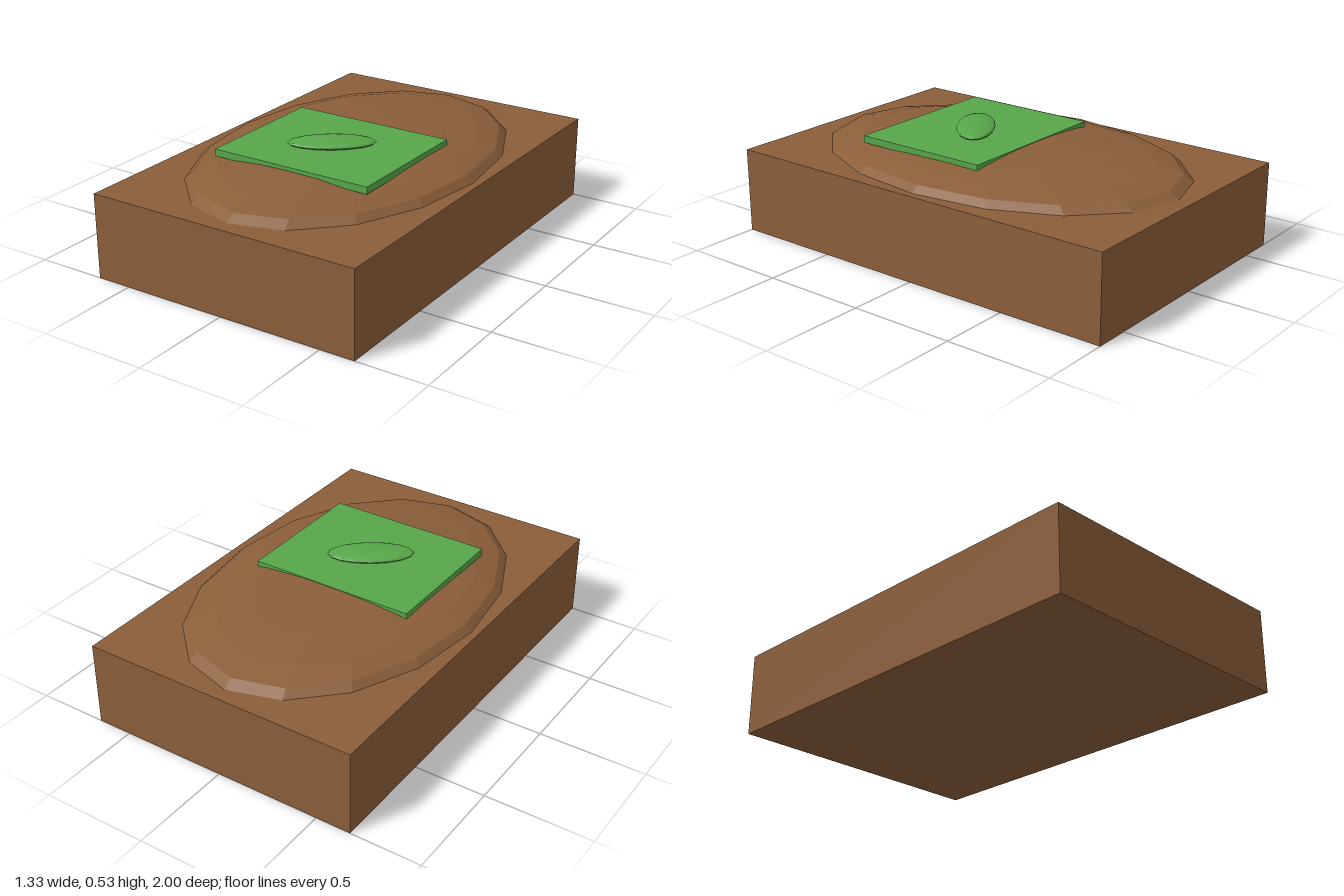
import * as THREE from 'three';

export function createModel() {
  const model = new THREE.Group();
  const brown = new THREE.MeshStandardMaterial({ color: 0x8b5e3a, flatShading: true });
  brown.name = 'earth brown';
  const green = new THREE.MeshStandardMaterial({ color: 0x57a64a, flatShading: true });
  green.name = 'leaf green';

  const add = (name, geometry, material, x, y, z) => {
    const mesh = new THREE.Mesh(geometry, material);
    mesh.name = name;
    mesh.position.set(x, y, z);
    model.add(mesh);
    return mesh;
  };

  // Solid rectangular base
  add('base', new THREE.BoxGeometry(1.333, 0.4, 2), brown, 0, 0.2, 0);

  // Shallow oval mound: the upper half of a faceted ellipsoid
  const dome = new THREE.SphereGeometry(1, 16, 5, 0, Math.PI * 2, 0, Math.PI / 2);
  dome.scale(0.633, 0.1, 0.933);
  add('mound', dome, brown, 0, 0.4, 0);

  // Flat square patch lying on the mound
  add('patch', new THREE.BoxGeometry(0.8, 0.033, 0.667), green, 0, 0.4835, 0.167);

  // Thin oval leaf turned diagonally on the patch
  const oval = new THREE.SphereGeometry(1, 16, 10);
  oval.scale(0.2, 0.022, 0.09);
  const leaf = add('leaf', oval, green, 0, 0.511, 0.167);
  leaf.rotation.y = THREE.MathUtils.degToRad(35);

  return model;
}
